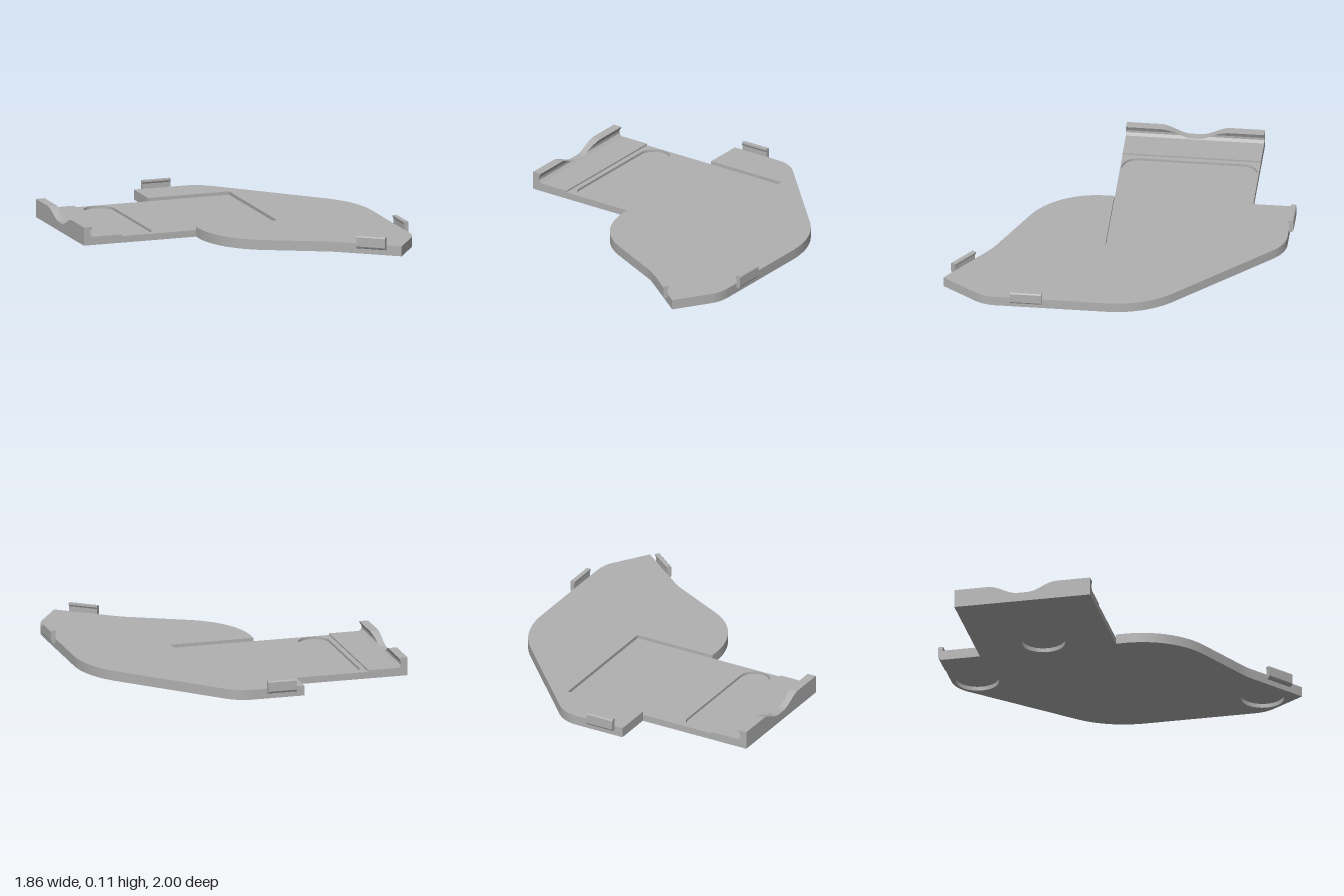
import * as THREE from 'three';
import { toCreasedNormals } from 'three/addons/utils/BufferGeometryUtils.js';

// Heights of the stacked layers
const FLOOR = 0.025, TONGUE = 0.04, STEP = 0.05, PLATE = 0.06, LIP = 0.11;
// Tongue extents in plan
const X0 = -0.93, XP = -0.225, X1 = 0.285, Z0 = -0.735, Z1 = 0.085;

// Curved edge of the plate, from the back corner round to the tongue's front side (plan: x, z)
function plateEdge(s) {
  s.lineTo(XP, -0.975);
  s.lineTo(0.1, -0.975);
  s.quadraticCurveTo(0.185, -0.97, 0.25, -0.9);
  s.lineTo(0.76, -0.36);
  s.bezierCurveTo(0.85, -0.26, 0.9, -0.13, 0.9, 0.02);
  s.lineTo(0.9, 0.67);
  s.quadraticCurveTo(0.9, 0.74, 0.87, 0.79);
  s.lineTo(0.73, 1.0);
  s.lineTo(0.43, 0.77);
  s.quadraticCurveTo(0.385, 0.735, 0.34, 0.715);
  s.lineTo(0.02, 0.555);
  s.bezierCurveTo(-0.13, 0.475, -0.225, 0.32, XP, 0.13);
  s.lineTo(XP, Z1);
}

function fullOutline() {
  const s = new THREE.Shape();
  s.moveTo(X0, Z0);
  s.lineTo(XP, Z0);
  plateEdge(s);
  s.lineTo(X0, Z1);
  s.closePath();
  return s;
}

function circleHole(x, z, r) {
  const p = new THREE.Path();
  p.absarc(x, z, r, 0, Math.PI * 2, true);
  return p;
}

// Horizontal slab of a plan shape between two heights
function slab(shape, bottom, top) {
  const g = new THREE.ExtrudeGeometry(shape, { depth: top - bottom, bevelEnabled: false, curveSegments: 24 });
  g.rotateX(Math.PI / 2).translate(0, top, 0);
  return toCreasedNormals(g, 0.5);
}

// End lip: hooked section whose top dips in a wave at the middle
function lipGeometry() {
  const faceX = y => (y < 0.065 ? -0.875 - (y - STEP) : y < 0.08 ? -0.89 : -0.89 + (y - 0.08) * 0.5);
  const heights = [STEP, 0.065, 0.08, 0.095, LIP];
  const s = new THREE.Shape();
  s.moveTo(X0, STEP);
  heights.forEach(y => s.lineTo(faceX(y), y));
  s.lineTo(X0, LIP);
  s.closePath();
  const g = new THREE.ExtrudeGeometry(s, { depth: Z1 - Z0, steps: 80, bevelEnabled: false });
  g.translate(0, 0, Z0);
  const p = g.attributes.position;
  for (let i = 0; i < p.count; i++) {
    const d = Math.abs(p.getZ(i) + 0.325);
    const h = 0.054 + (LIP - 0.054) * THREE.MathUtils.smoothstep(d, 0.03, 0.205);
    const y = Math.min(p.getY(i), h);
    p.setY(i, y);
    if (p.getX(i) > X0 + 0.001) p.setX(i, faceX(y));
  }
  return toCreasedNormals(g, 0.4);
}

// Snap tab: hooked section, local +x points outward from the plate edge
function tabGeometry(length) {
  const s = new THREE.Shape();
  [[-0.006, LIP], [-0.006, 0.1], [0, 0.09], [0, 0.033], [0.012, 0.033], [0.02, 0.037],
    [0.026, 0.047], [0.026, 0.103], [0.02, LIP]]
    .forEach(([x, y], i) => (i ? s.lineTo(x, y) : s.moveTo(x, y)));
  s.closePath();
  const g = new THREE.ExtrudeGeometry(s, { depth: length, bevelEnabled: false });
  return g.translate(0, 0, -length / 2);
}

export function createModel() {
  const group = new THREE.Group();
  const grey = new THREE.MeshStandardMaterial({ color: 0xb0b0b0 });
  grey.name = 'grey plastic';
  const add = (name, geometry) => {
    const m = new THREE.Mesh(geometry, grey);
    m.name = name;
    group.add(m);
    return m;
  };

  // Bottom layer with three round pockets open underneath
  const base = fullOutline();
  [[0.115, -0.825], [-0.325, -0.33], [0.71, 0.765]].forEach(([x, z]) => base.holes.push(circleHole(x, z, 0.127)));
  add('baseLayer', slab(base, 0, FLOOR));

  // Middle layer with the rounded slot across the tongue
  const middle = fullOutline();
  const slot = new THREE.Path();
  const r = 0.0925, cx = -0.568;
  slot.absarc(cx, -0.635, r, Math.PI, Math.PI * 2, false);
  slot.absarc(cx, -0.015, r, 0, Math.PI, false);
  slot.closePath();
  middle.holes.push(slot);
  add('slottedLayer', slab(middle, FLOOR, TONGUE));

  // Raised plate around the rectangular recess
  const rim = new THREE.Shape();
  rim.moveTo(XP, Z0);
  plateEdge(rim);
  rim.lineTo(X1, Z1);
  rim.lineTo(X1, Z0);
  rim.closePath();
  add('raisedPlate', slab(rim, TONGUE, PLATE));

  // Raised end of the tongue and its lip
  const end = new THREE.BoxGeometry(0.24, STEP - TONGUE, Z1 - Z0);
  add('tongueStep', end.translate(X0 + 0.12, (STEP + TONGUE) / 2, (Z0 + Z1) / 2));
  add('endLip', lipGeometry());

  // Snap tabs: name, x, z, outward direction, length
  [['backTab', -0.083, -0.975, 0, -1, 0.175],
    ['sideTab', 0.9, 0.493, 1, 0, 0.185],
    ['frontTab', 0.585, 0.888, -0.61, 0.79, 0.178]].forEach(([name, x, z, dx, dz, length]) => {
    const tab = add(name, tabGeometry(length));
    tab.position.set(x, 0, z);
    tab.rotation.y = Math.atan2(-dz, dx);
  });

  return group;
}
